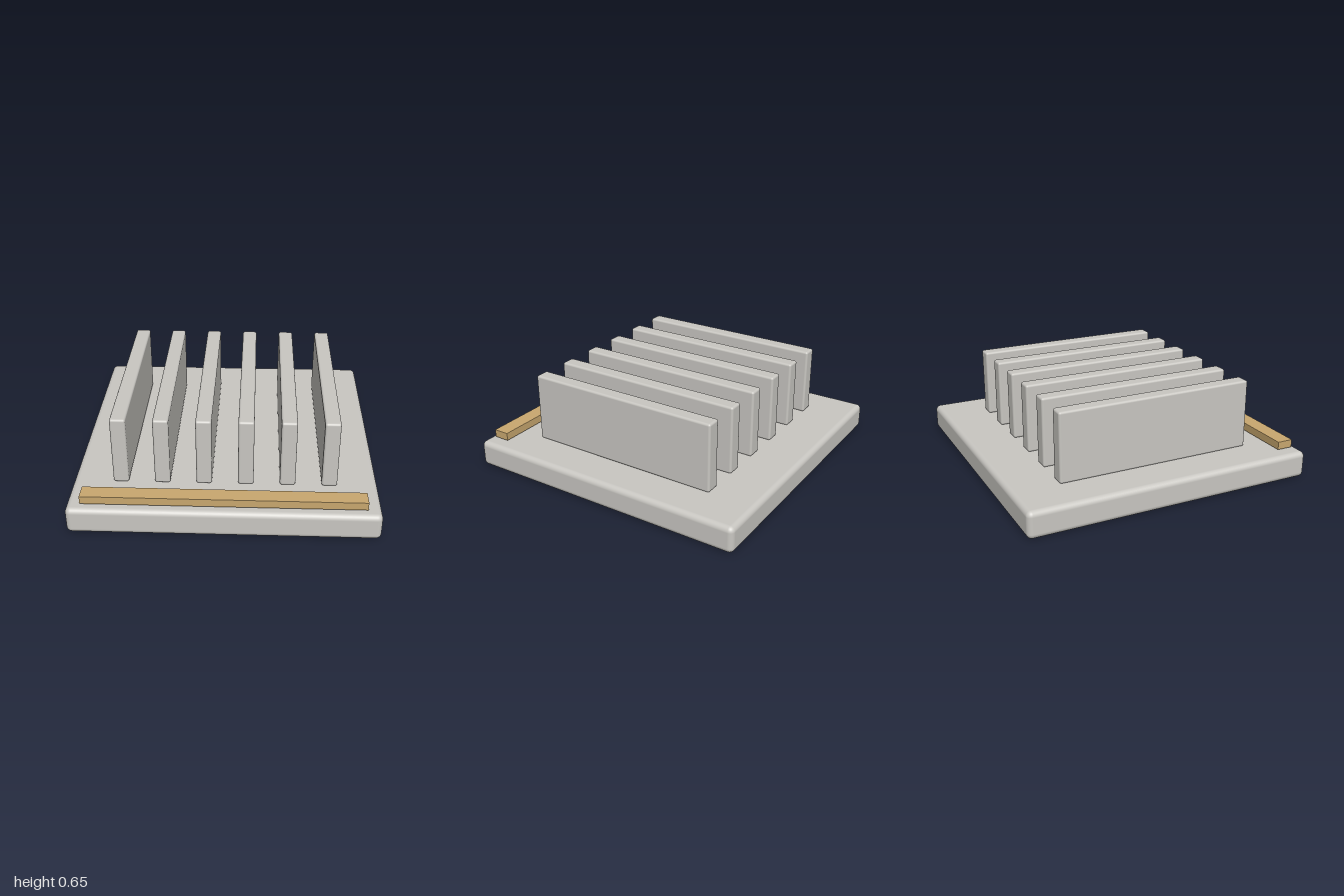
import * as THREE from 'three';
import { RoundedBoxGeometry } from 'three/addons/geometries/RoundedBoxGeometry.js';

export function createModel() {
  const model = new THREE.Group();
  model.name = 'finnedBlock';

  const metal = new THREE.MeshStandardMaterial({ color: 0xc9c7c2 });
  metal.name = 'lightGrey';
  const brass = new THREE.MeshStandardMaterial({ color: 0xc9a86f });
  brass.name = 'brass';

  const add = (name, geometry, material, x, y, z) => {
    const mesh = new THREE.Mesh(geometry, material);
    mesh.name = name;
    mesh.position.set(x, y, z);
    model.add(mesh);
  };

  // Base plate with softened edges
  add('basePlate', new RoundedBoxGeometry(2, 0.182, 2, 4, 0.036), metal, 0, 0.091, 0);

  // Six upright fins, evenly spaced across the plate
  const finCount = 6;
  const finSpacing = 0.273;
  const finGeometry = new RoundedBoxGeometry(0.102, 0.473, 1.364, 3, 0.015);
  for (let i = 0; i < finCount; i++) {
    const x = (i - (finCount - 1) / 2) * finSpacing;
    add(`fin${i + 1}`, finGeometry, metal, x, 0.4185, 0);
  }

  // Sharp-edged strip held just above the front edge
  add('frontStrip', new THREE.BoxGeometry(1.818, 0.054, 0.109), brass, 0, 0.2205, 0.89);

  return model;
}
